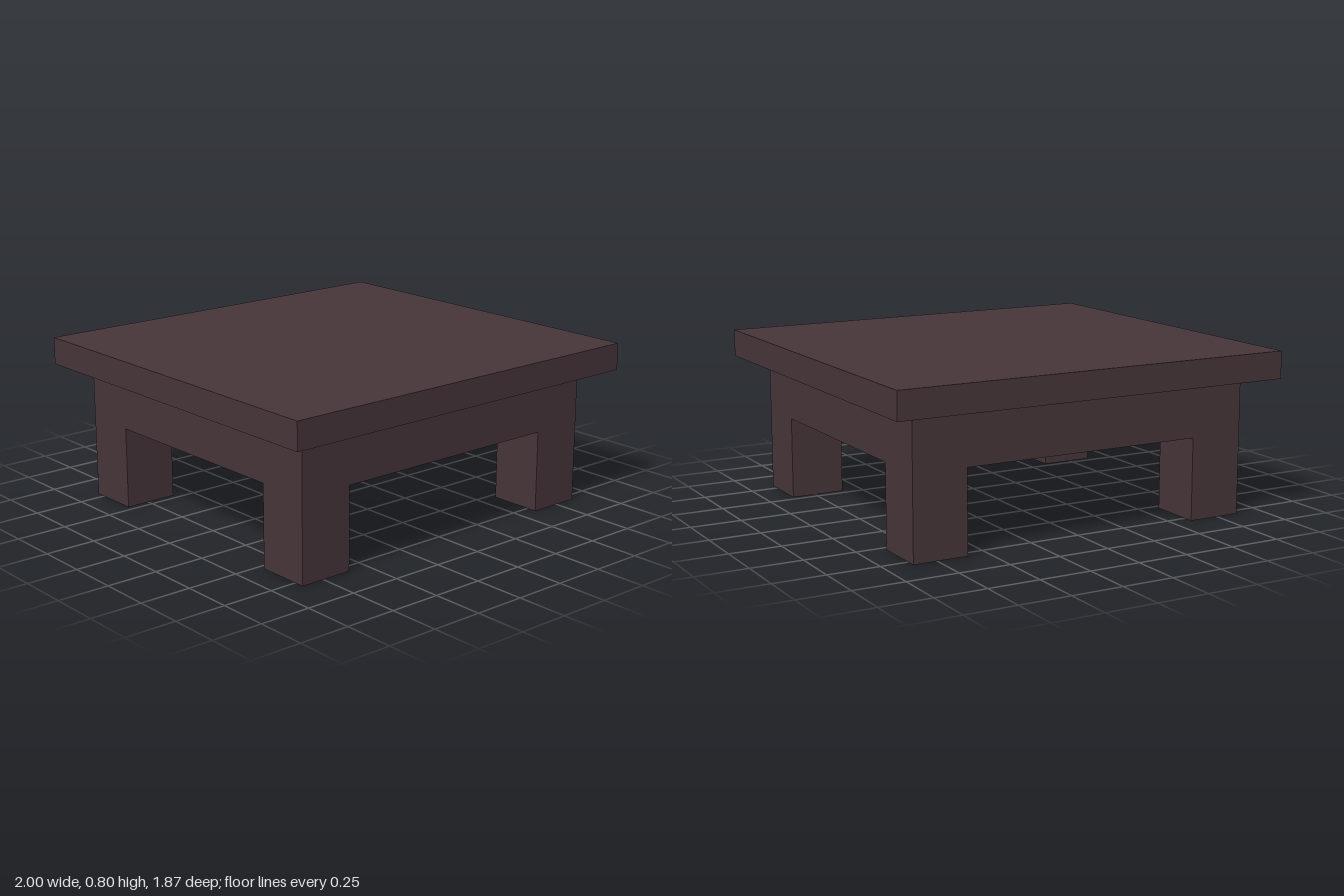
import * as THREE from 'three';

export function createModel() {
  const table = new THREE.Group();
  table.name = 'lowTable';

  const darkWood = new THREE.MeshStandardMaterial({ color: 0x47353a });
  darkWood.name = 'darkWood';

  // Box given by its size and the height of its underside
  function addBox(name, width, height, depth, x, bottom, z) {
    const mesh = new THREE.Mesh(new THREE.BoxGeometry(width, height, depth), darkWood);
    mesh.name = name;
    mesh.position.set(x, bottom + height / 2, z);
    table.add(mesh);
  }

  const legSize = 0.267, legHeight = 0.4;
  const bodyWidth = 1.733, bodyHeight = 0.267, bodyDepth = 1.6;
  const topHeight = 0.133;

  // Overhanging slab on a solid body
  addBox('tableTop', 2, topHeight, 1.867, 0, legHeight + bodyHeight, 0);
  addBox('body', bodyWidth, bodyHeight, bodyDepth, 0, legHeight, 0);

  // Square legs flush with the body's corners
  for (const [side, sx] of [['Left', 1], ['Right', -1]]) {
    for (const [end, sz] of [['front', 1], ['back', -1]]) {
      addBox(`${end}${side}Leg`, legSize, legHeight, legSize,
        sx * (bodyWidth - legSize) / 2, 0, sz * (bodyDepth - legSize) / 2);
    }
  }

  return table;
}
